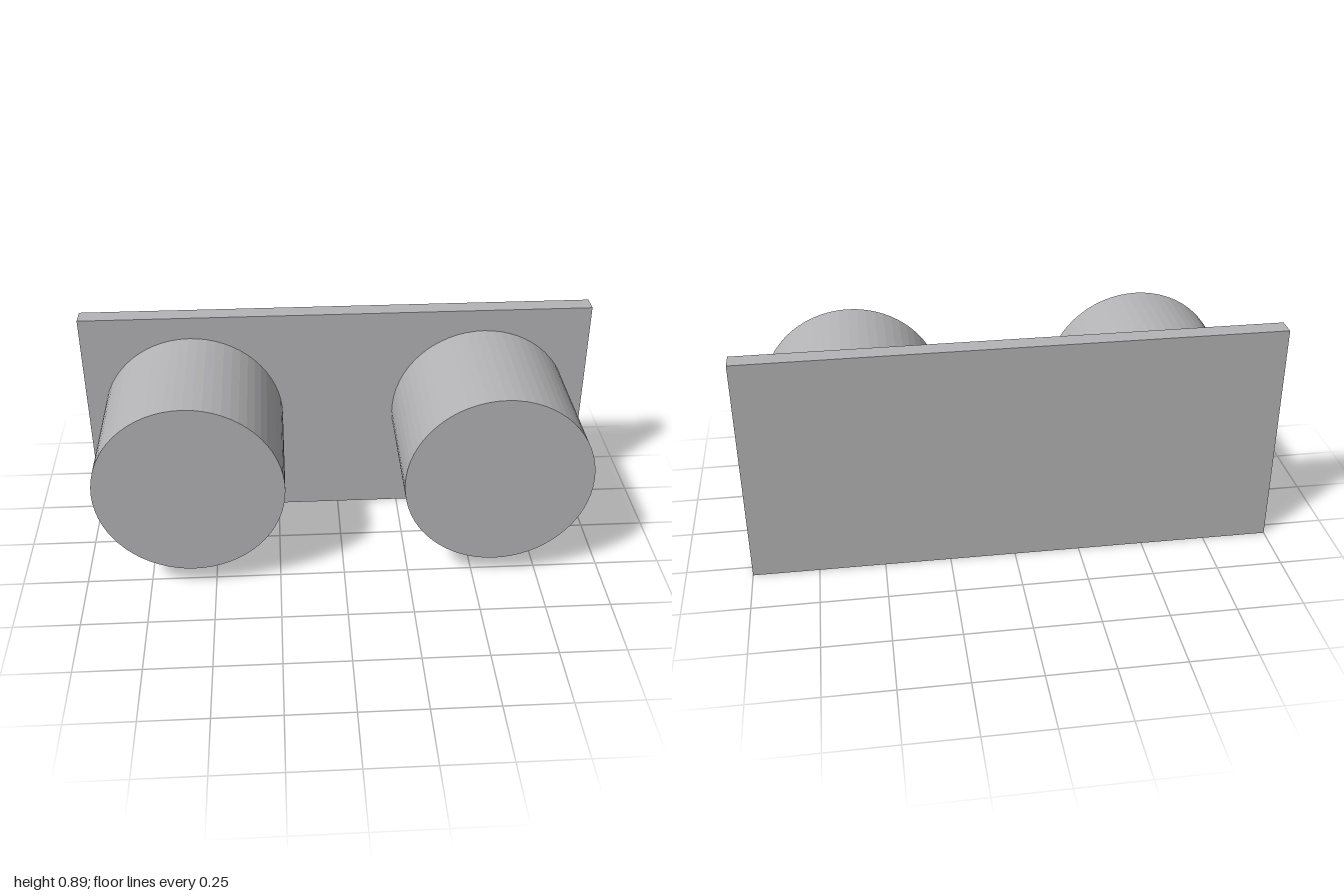
import * as THREE from 'three';

export function createModel() {
  const group = new THREE.Group();
  const grey = new THREE.MeshStandardMaterial({ color: 0xb4b4b6, flatShading: true });
  grey.name = 'plain grey';

  const height = 0.889, thickness = 0.071, back = -0.302, front = 0.302;
  const plateFront = back + thickness;

  // Upright rectangular back plate
  const plate = new THREE.Mesh(new THREE.BoxGeometry(2, height, thickness), grey);
  plate.name = 'backPlate';
  plate.position.set(0, height / 2, back + thickness / 2);
  group.add(plate);

  // Two round pegs standing out from the plate
  const length = front - plateFront;
  const pegGeometry = new THREE.CylinderGeometry(0.356, 0.356, length, 64).rotateX(Math.PI / 2);
  for (const side of [1, -1]) {
    const peg = new THREE.Mesh(pegGeometry, grey);
    peg.name = side > 0 ? 'leftPeg' : 'rightPeg';
    peg.position.set(side * 0.578, height / 2, plateFront + length / 2);
    group.add(peg);
  }
  return group;
}
